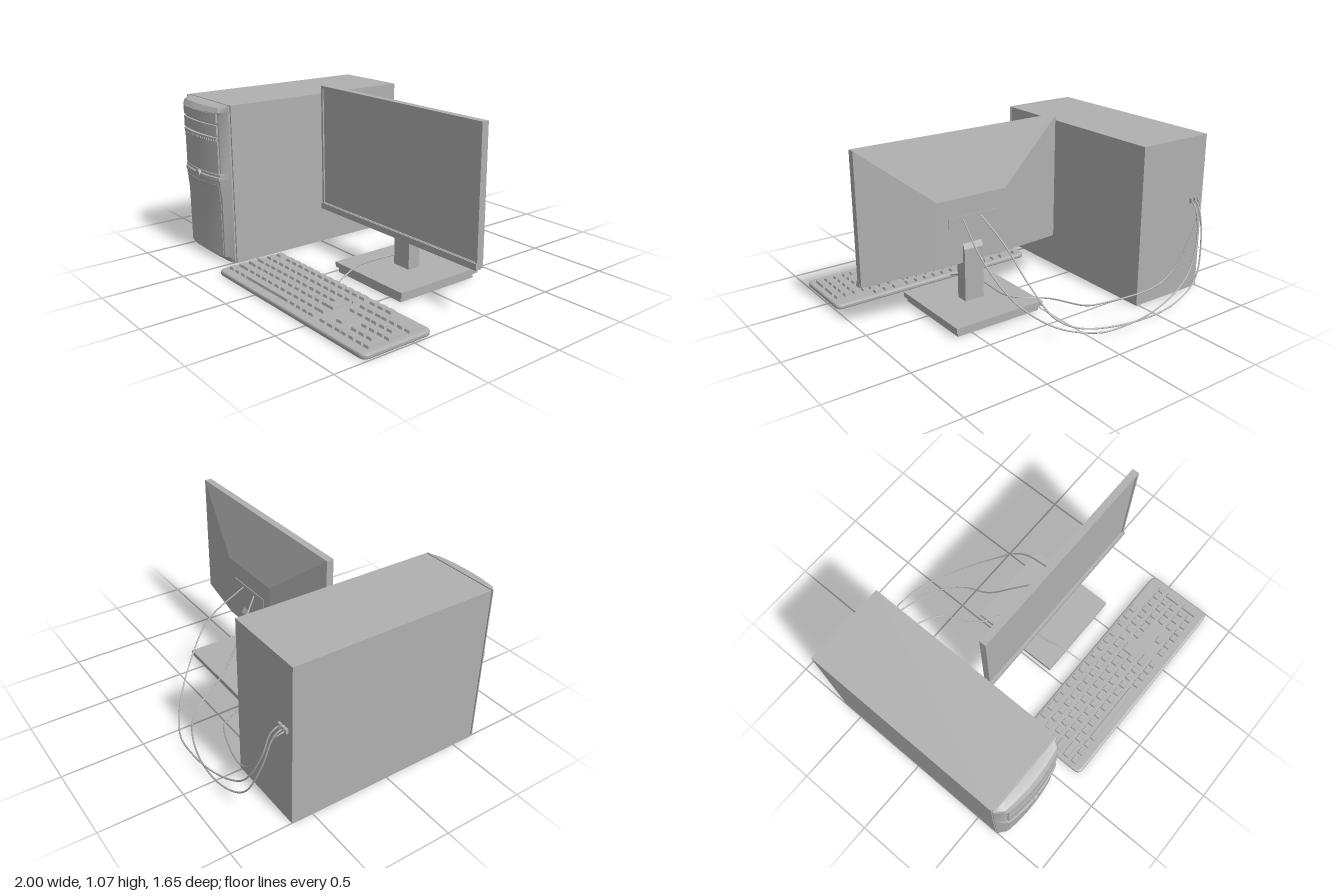
import * as THREE from 'three';
import { toCreasedNormals } from 'three/addons/utils/BufferGeometryUtils.js';

const grey = new THREE.MeshStandardMaterial({ color: 0xb0b0b0 });
grey.name = 'plain grey';

function add(parent, name, geometry) {
  const mesh = new THREE.Mesh(geometry, grey);
  mesh.name = name;
  parent.add(mesh);
  return mesh;
}

// Box given by its two extreme corners
function box(parent, name, x0, x1, y0, y1, z0, z1) {
  const mesh = add(parent, name, new THREE.BoxGeometry(x1 - x0, y1 - y0, z1 - z0));
  mesh.position.set((x0 + x1) / 2, (y0 + y1) / 2, (z0 + z1) / 2);
}

function group(parent, name) {
  const g = new THREE.Group();
  g.name = name;
  parent.add(g);
  return g;
}

const vectors = points => points.map(p => new THREE.Vector2(...p));

// Bulge of the tower's bowed front at a given x
const TOWER_X = -0.7425, HALF = 0.2575;
function bulge(x) {
  const t = Math.abs(x - TOWER_X) / HALF;
  return t > 0.82 ? 0.055 * (1 - t) / 0.18 : 0.055 + 0.025 * (1 - (t / 0.82) ** 2);
}

// Bowed panel lofted through rows of [height, bulge factor]
function bowedPanel(x0, x1, rows) {
  const full = x1 - x0 > 0.5;
  const xs = full ? [x0, x0 + 0.022, x0 + 0.046] : [x0];
  const a = xs[xs.length - 1], b = full ? x1 - 0.046 : x1;
  for (let i = 1; i <= 10; i++) xs.push(a + (b - a) * i / 10);
  if (full) xs.push(x1 - 0.022, x1);
  const n = xs.length + 2, pos = [], idx = [];
  rows.forEach(([y, k]) => {
    xs.forEach(x => pos.push(x, y, 0.655 + k * bulge(x)));
    pos.push(x1, y, 0.648, x0, y, 0.648);
  });
  for (let r = 0; r < rows.length - 1; r++) {
    for (let i = 0; i < n; i++) {
      const p = r * n + i, q = r * n + (i + 1) % n;
      idx.push(p, q, q + n, p, q + n, p + n);
    }
  }
  const top = (rows.length - 1) * n;
  for (let i = 1; i < n - 1; i++) idx.push(top, top + i, top + i + 1, 0, i + 1, i);
  const g = new THREE.BufferGeometry();
  g.setAttribute('position', new THREE.Float32BufferAttribute(pos, 3));
  g.setIndex(idx);
  return toCreasedNormals(g, 0.4);
}

function buildTower(root) {
  const tower = group(root, 'tower');
  box(tower, 'case', -1, -0.485, 0, 0.99, -0.63, 0.64);
  box(tower, 'bezelSeam', -0.99, -0.495, 0.01, 0.98, 0.64, 0.65);
  add(tower, 'frontBezel', bowedPanel(-1, -0.485, [
    [0.003, 0.2], [0.04, 0.75], [0.4, 0.77], [0.5, 0.95], [0.565, 0.95],
    [0.575, 0.8], [0.935, 0.8], [0.945, 1], [0.975, 0.75], [0.99, 0.1]]));
  add(tower, 'middleBand', bowedPanel(-1, -0.485, [[0.522, 1], [0.528, 1.08], [0.546, 1.08], [0.552, 1]]));
  // Drive covers and the panel beneath them
  [[0.885, 0.94, 1], [0.805, 0.87, 1], [0.785, 0.796, 1.05], [0.57, 0.77, 0.95]].forEach(([y0, y1, k]) =>
    add(tower, 'bayCover', bowedPanel(-0.945, -0.54, [[y0, k], [y1, k]])));
  // Vent slots
  for (let i = 0; i < 18; i++) {
    const x = -0.93 + i * 0.022;
    const z = 0.655 + bulge(x);
    box(tower, 'ventRib', x - 0.006, x + 0.006, 0.77, 0.785, z - 0.02, z);
  }
  // Lower door
  add(tower, 'lowerDoor', bowedPanel(-0.94, -0.545, [[0.05, 0.79], [0.4, 0.81], [0.5, 0.98]]));
  const button = add(tower, 'powerButton', new THREE.CylinderGeometry(0.025, 0.027, 0.02, 20));
  button.rotation.x = Math.PI / 2;
  button.position.set(TOWER_X, 0.538, 0.737);
  // Rear plugs
  [-0.955, -0.93, -0.9].forEach(x =>
    box(tower, 'rearPlug', x - 0.01, x + 0.01, 0.575, 0.605, -0.645, -0.63));
}

function buildMonitor(root) {
  const monitor = group(root, 'monitor');
  // Frame around the recessed screen
  const outline = new THREE.Shape(vectors([[-0.365, 0.28], [0.998, 0.28], [0.998, 1.065], [-0.365, 1.065]]));
  outline.holes.push(new THREE.Path(vectors([[-0.35, 0.315], [-0.35, 1.05], [0.983, 1.05], [0.983, 0.315]])));
  const frame = new THREE.ExtrudeGeometry(outline, { depth: 0.045, bevelEnabled: false });
  add(monitor, 'frame', frame.translate(0, 0, 0.024));
  box(monitor, 'screen', -0.352, 0.985, 0.313, 1.052, 0.03, 0.06);
  box(monitor, 'chin', -0.365, 1, 0.275, 0.313, 0.04, 0.078);
  // Tapered rear shell
  const shell = new THREE.BoxGeometry(1.363, 0.785, 0.09);
  shell.translate(0.3165, 0.6725, -0.021);
  const p = shell.attributes.position;
  for (let i = 0; i < p.count; i++) {
    if (p.getZ(i) > 0) continue;
    p.setX(i, p.getX(i) > 0.3 ? 0.55 : 0.08);
    p.setY(i, p.getY(i) > 0.6 ? 0.71 : 0.31);
  }
  shell.computeVertexNormals();
  add(monitor, 'rearShell', shell);
  box(monitor, 'portPanel', 0.15, 0.48, 0.54, 0.6, -0.071, -0.064);
  // Neck with a sloped top edge
  const side = new THREE.Shape(vectors([[0.005, 0.05], [0.085, 0.05], [0.085, 0.395], [0.065, 0.43], [0.005, 0.43]]));
  const neck = new THREE.ExtrudeGeometry(side, { depth: 0.13, bevelEnabled: false });
  add(monitor, 'neck', neck.rotateY(Math.PI / 2).translate(0.255, 0, 0));
  box(monitor, 'standBase', 0.012, 0.614, 0.035, 0.066, -0.345, 0.25);
  box(monitor, 'standFoot', 0.03, 0.596, 0.003, 0.035, -0.325, 0.24);
}

function buildKeyboard(root) {
  const keyboard = group(root, 'keyboard');
  // Rounded body with a bevelled rim
  const x0 = -0.386, x1 = 0.983, z0 = 0.383, z1 = 0.807, r = 0.03;
  const s = new THREE.Shape();
  s.moveTo(x0 + r, -z1).lineTo(x1 - r, -z1).quadraticCurveTo(x1, -z1, x1, -z1 + r);
  s.lineTo(x1, -z0 - r).quadraticCurveTo(x1, -z0, x1 - r, -z0);
  s.lineTo(x0 + r, -z0).quadraticCurveTo(x0, -z0, x0, -z0 - r);
  s.lineTo(x0, -z1 + r).quadraticCurveTo(x0, -z1, x0 + r, -z1);
  const body = new THREE.ExtrudeGeometry(s, {
    depth: 0.013, bevelThickness: 0.01, bevelSize: 0.012, bevelSegments: 2, curveSegments: 5 });
  add(keyboard, 'body', body.rotateX(-Math.PI / 2).translate(0, 0.01, 0));

  // Keys with tapered tops, placed by left edge, width and row
  const rowZ = [0.388, 0.457, 0.525, 0.59, 0.657, 0.722], keyDepth = 0.043, gap = 0.017, pitch = 0.0655;
  const key = (x, w, row, rows = 1) => {
    const d = rowZ[row + rows - 1] + keyDepth - rowZ[row];
    const g = new THREE.BoxGeometry(w, 0.022, d);
    const p = g.attributes.position;
    for (let i = 0; i < p.count; i++) {
      if (p.getY(i) < 0) continue;
      p.setX(i, p.getX(i) - Math.sign(p.getX(i)) * 0.005);
      p.setZ(i, p.getZ(i) - Math.sign(p.getZ(i)) * 0.005);
    }
    g.computeVertexNormals();
    add(keyboard, 'key', g).position.set(x + w / 2, 0.037, rowZ[row] + d / 2);
  };
  const run = (x, count, row) => {
    for (let i = 0; i < count; i++) key(x + i * pitch, pitch - gap, row);
  };
  const left = -0.367, right = 0.5;
  // Top row
  run(left, 1, 0);
  [-0.26, 0.003, 0.265, 0.553].forEach((x, i) => run(x, i < 3 ? 4 : 3, 0));
  // Letter rows: first key width, count of plain keys, row
  [[0.049, 12, 1], [0.07, 11, 2], [0.085, 11, 3], [0.11, 10, 4]].forEach(([w, count, row]) => {
    key(left, w, row);
    const start = left + w + gap;
    run(start, count, row);
    const end = start + count * pitch;
    if (row === 1 || row === 4) key(end, right - end, row);
  });
  key(0.43, 0.07, 2, 2);
  // Space bar row
  [left, -0.3, -0.237].forEach(x => run(x, 1, 5));
  key(-0.175, 0.435, 5);
  [0.278, 0.338, 0.396, 0.452].forEach(x => key(x, 0.045, 5));
  // Navigation cluster
  [1, 2, 5].forEach(row => run(0.553, 3, row));
  run(0.612, 1, 4);
  // Number pad
  for (let row = 1; row < 6; row++) [0.735, 0.797, 0.858].forEach(x => key(x, 0.046, row));
  key(0.915, 0.046, 1);
  key(0.915, 0.046, 2, 2);
  key(0.915, 0.046, 4, 2);
}

function buildCables(root) {
  const cables = group(root, 'cables');
  const paths = {
    keyboardCable: [[-0.955, 0.59, -0.63], [-0.94, 0.57, -0.675], [-0.855, 0.42, -0.702], [-0.7, 0.2, -0.702],
      [-0.56, 0.125, -0.69], [-0.25, 0.075, -0.595], [-0.16, 0.062, -0.54], [-0.05, 0.06, -0.335],
      [0.14, 0.072, -0.185], [0.15, 0.074, 0.08], [0.175, 0.074, 0.23], [0.2, 0.02, 0.385]],
    powerCable: [[-0.93, 0.59, -0.63], [-0.92, 0.56, -0.68], [-0.89, 0.35, -0.745], [-0.8, 0.15, -0.795],
      [-0.585, 0.05, -0.82], [-0.265, 0.015, -0.785], [0, 0.02, -0.675], [0.09, 0.06, -0.56],
      [0.125, 0.2, -0.37], [0.19, 0.43, -0.195], [0.26, 0.585, -0.06]],
    videoCable: [[-0.9, 0.59, -0.63], [-0.89, 0.56, -0.68], [-0.87, 0.4, -0.73], [-0.75, 0.18, -0.775],
      [-0.465, 0.06, -0.815], [-0.155, 0.03, -0.815], [-0.035, 0.025, -0.78], [0.165, 0.07, -0.665],
      [0.325, 0.2, -0.505], [0.41, 0.4, -0.32], [0.38, 0.585, -0.06]],
  };
  for (const [name, pts] of Object.entries(paths)) {
    const curve = new THREE.CatmullRomCurve3(pts.map(p => new THREE.Vector3(...p)), false, 'centripetal');
    add(cables, name, new THREE.TubeGeometry(curve, 70, 0.005, 6));
  }
}

export function createModel() {
  const root = new THREE.Group();
  root.name = 'desktopComputer';
  buildTower(root);
  buildMonitor(root);
  buildKeyboard(root);
  buildCables(root);
  return root;
}
